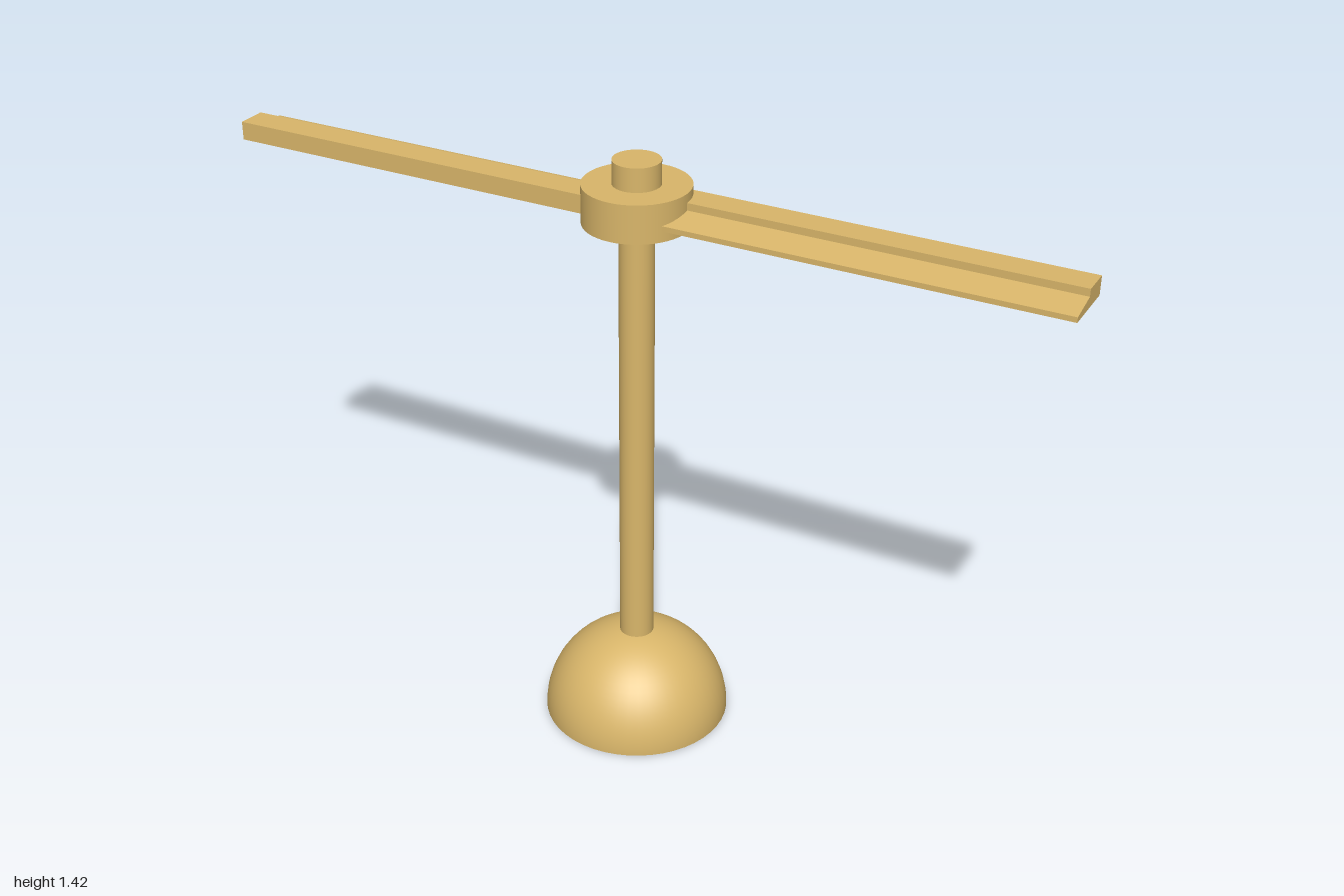
import * as THREE from 'three';

export function createModel() {
  const group = new THREE.Group();
  const material = new THREE.MeshStandardMaterial({ color: 0xd9b66a });

  const add = (name, geometry, y = 0) => {
    const mesh = new THREE.Mesh(geometry, material);
    mesh.name = name;
    mesh.position.y = y;
    group.add(mesh);
    return mesh;
  };
  const cylinder = (name, radius, bottom, top) =>
    add(name, new THREE.CylinderGeometry(radius, radius, top - bottom, 48), (top + bottom) / 2);

  // Solid half-ball base
  add('baseDome', new THREE.SphereGeometry(0.22, 48, 20, 0, Math.PI * 2, 0, Math.PI / 2));
  add('baseUnderside', new THREE.CircleGeometry(0.22, 48).rotateX(Math.PI / 2));

  // Pole, hub and cap
  cylinder('pole', 0.04, 0.2, 1.28);
  cylinder('hub', 0.121, 1.276, 1.365);
  cylinder('cap', 0.054, 1.36, 1.42);

  // Blade section: thin sloping leading half, thick flat trailing half.
  // Extruded along z, then turned so that z becomes x and section x becomes -z.
  const section = new THREE.Shape([
    [-0.07, 1.301], [0.07, 1.301], [0.07, 1.344],
    [0, 1.344], [0, 1.327], [-0.07, 1.313],
  ].map(([x, y]) => new THREE.Vector2(x, y)));
  const bladeGeometry = new THREE.ExtrudeGeometry(section, { depth: 0.95, bevelEnabled: false });
  bladeGeometry.translate(0, 0, 0.05).rotateY(Math.PI / 2);

  // Two blades, half a turn apart
  ['leftBlade', 'rightBlade'].forEach((name, i) => {
    add(name, bladeGeometry).rotation.y = i * Math.PI;
  });

  return group;
}
